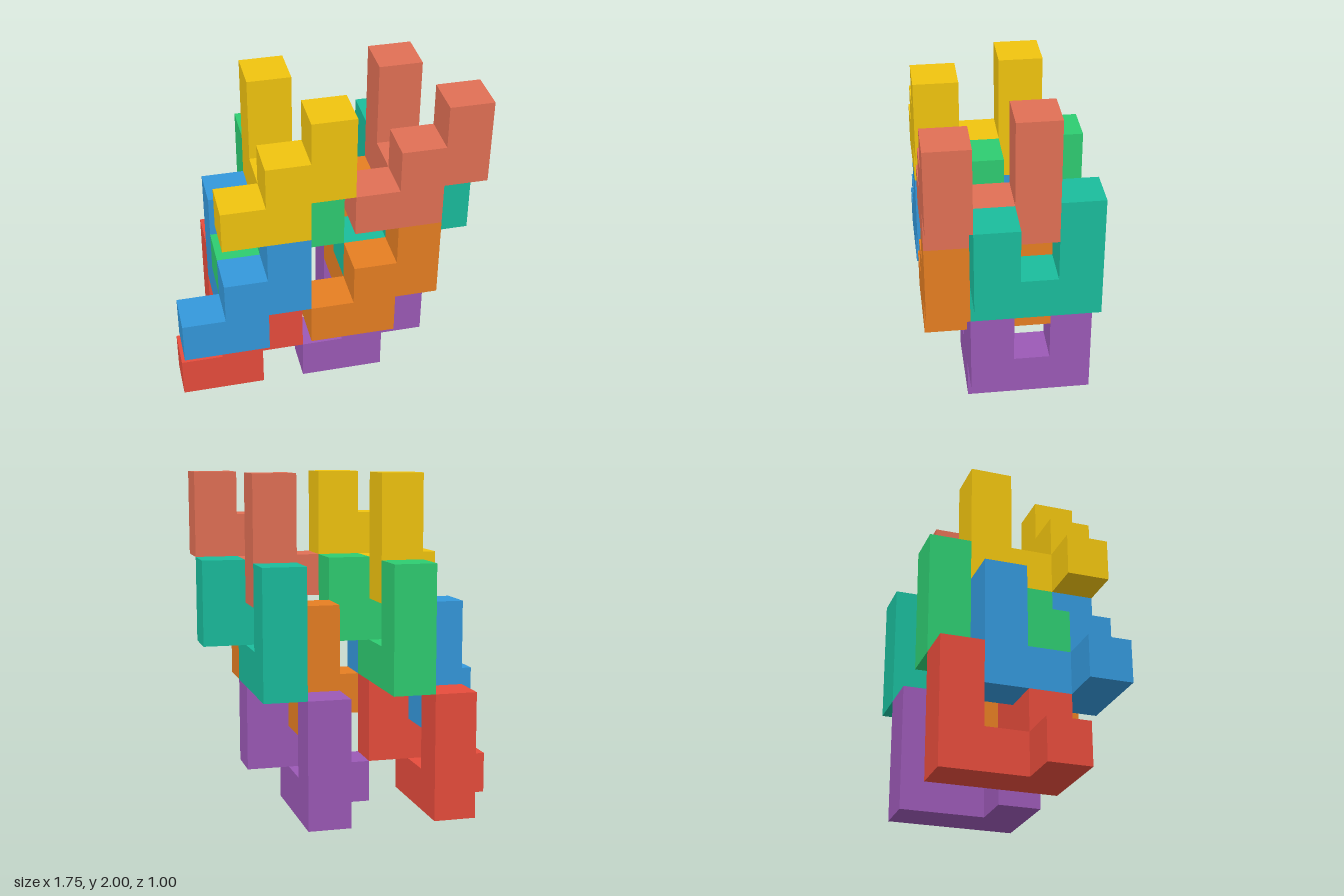
import * as THREE from 'three';
import { mergeGeometries } from 'three/addons/utils/BufferGeometryUtils.js';

const U = 0.25; // edge of one cube cell

// Extrudes an outline given in cell units by one cell
function slab(points) {
  const shape = new THREE.Shape(points.map(([x, y]) => new THREE.Vector2(x * U, y * U)));
  return new THREE.ExtrudeGeometry(shape, { depth: U, bevelEnabled: false });
}

// One puzzle piece: a stepped front with an L-shaped arm behind it
function pieceGeometry() {
  const steps = slab([[0, 0], [2, 0], [2, 1], [3, 1], [3, 3], [2, 3], [2, 2], [1, 2], [1, 1], [0, 1]]);
  steps.translate(0, 0, 2 * U);
  const arm = slab([[0, 0], [2, 0], [2, 1], [1, 1], [1, 3], [0, 3]]);
  arm.rotateY(-Math.PI / 2).translate(2 * U, 0, 0);
  return mergeGeometries([steps, arm]);
}

// Name, colour and the cell offset of each interlocking piece
const PIECES = [
  ['redPiece', 0xe74c3c, 0, 0, 0],
  ['purplePiece', 0x9b59b6, 3, 0, 0],
  ['bluePiece', 0x3498db, 0, 2, 1],
  ['orangePiece', 0xe67e22, 3, 2, 1],
  ['greenPiece', 0x2ecc71, 1, 3, 0],
  ['tealPiece', 0x1abc9c, 4, 3, 0],
  ['yellowPiece', 0xf1c40f, 1, 5, 1],
  ['coralPiece', 0xe17055, 4, 5, 1],
];

export function createModel() {
  const model = new THREE.Group();
  model.name = 'interlockingPieces';
  const geometry = pieceGeometry();
  for (const [name, color, i, j, k] of PIECES) {
    const piece = new THREE.Mesh(geometry, new THREE.MeshStandardMaterial({ color }));
    piece.name = name;
    piece.position.set((i - 3.5) * U, j * U, (k - 2) * U);
    model.add(piece);
  }
  return model;
}
